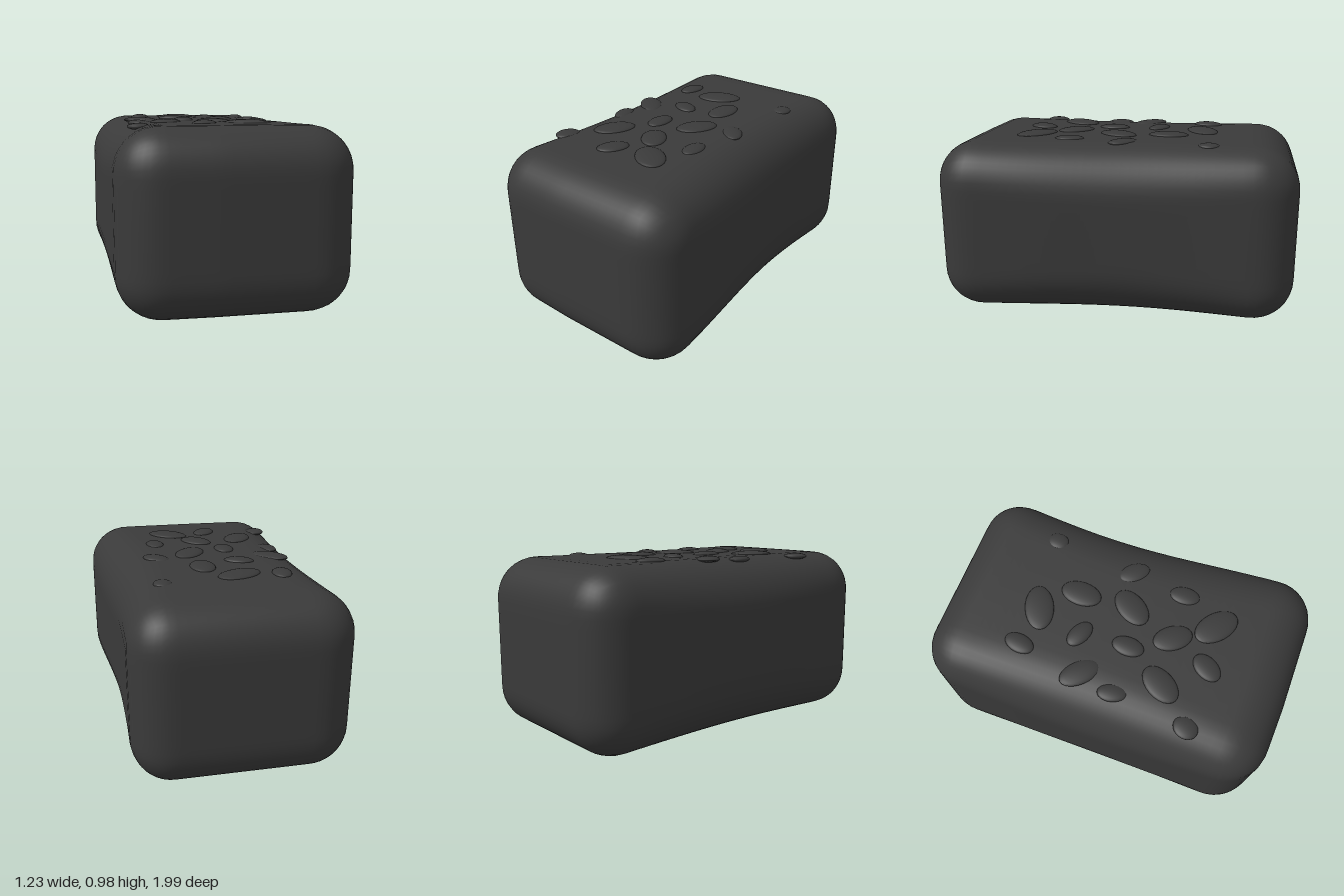
import * as THREE from 'three';
import { mergeVertices } from 'three/addons/utils/BufferGeometryUtils.js';

const HEIGHT = 0.966;
const clamp = THREE.MathUtils.clamp;
const mat = new THREE.MeshStandardMaterial({ color: 0x3a3a3a, roughness: 0.8 });

// Rounded block whose edges soften towards the middle, with slightly uneven sides
function loafGeometry() {
  const hx = 0.6, hy = HEIGHT / 2, hz = 0.995;
  let g = new THREE.BoxGeometry(hx * 2, hy * 2, hz * 2, 24, 20, 40);
  g.deleteAttribute('normal');
  g.deleteAttribute('uv');
  g = mergeVertices(g);
  const pos = g.attributes.position;
  const p = new THREE.Vector3(), core = new THREE.Vector3();
  for (let i = 0; i < pos.count; i++) {
    p.fromBufferAttribute(pos, i);
    const r = 0.23 + 0.06 * Math.cos(clamp(p.z / 0.75, -1, 1) * Math.PI / 2);
    core.set(
      clamp(p.x, r - hx, hx - r),
      clamp(p.y, r - hy, hy - r),
      clamp(p.z, 0.23 - hz, hz - 0.23)
    );
    const off = p.clone().sub(core);
    off.z *= r / 0.23;
    off.setLength(r);
    off.z *= 0.23 / r;
    p.copy(core).add(off);
    // The left side narrows towards the back, with a shallow waist
    if (p.x > 0) {
      const side = p.x / hx;
      p.x += side * (-0.02 + 0.035 * p.z - 0.015 * Math.cos(p.z * 3.4 + 0.8));
    } else {
      p.x += (p.x / hx) * 0.008 * Math.cos(p.z * 2 + 0.6);
    }
    // Front end bulges a little around its middle
    if (p.z > 0) p.z -= 0.02 * (p.z / hz) * clamp((-p.x - 0.1) / 0.5, 0, 1);
    pos.setXYZ(i, p.x, p.y + hy, p.z);
  }
  g.computeVertexNormals();
  return g;
}

export function createModel() {
  const group = new THREE.Group();
  group.name = 'seededLoaf';
  const loaf = new THREE.Mesh(loafGeometry(), mat);
  loaf.name = 'loaf';
  group.add(loaf);

  // Seeds: x, z, half length, half width, turn in degrees, drop below the crust top
  const seeds = [
    [-0.32, -0.465, 0.085, 0.053, 82, 0],
    [-0.09, -0.445, 0.13, 0.08, 25, 0],
    [0.33, -0.505, 0.06, 0.05, 90, 0.008],
    [0.07, -0.26, 0.115, 0.07, 90, 0],
    [-0.155, -0.18, 0.085, 0.052, -25, 0],
    [-0.36, -0.1, 0.115, 0.065, -45, 0.006],
    [0.09, 0.03, 0.12, 0.075, 58, 0],
    [0.295, -0.03, 0.09, 0.055, -50, 0.006],
    [-0.13, 0.09, 0.09, 0.055, 90, 0],
    [-0.4, 0.1, 0.08, 0.05, -75, 0.014],
    [-0.27, 0.325, 0.12, 0.075, 60, 0],
    [0, 0.3, 0.11, 0.07, -55, 0],
    [0.26, 0.28, 0.085, 0.052, -85, 0.003],
    [-0.44, 0.525, 0.07, 0.06, 70, 0.014],
    [-0.095, 0.525, 0.09, 0.06, 60, 0],
    [0.145, 0.5, 0.13, 0.08, -40, 0],
  ];
  const seedGeo = new THREE.SphereGeometry(1, 24, 12);
  const seedGroup = new THREE.Group();
  seedGroup.name = 'seeds';
  seeds.forEach(([x, z, a, b, deg, drop], i) => {
    const seed = new THREE.Mesh(seedGeo, mat);
    seed.name = `seed${i + 1}`;
    seed.scale.set(a, 0.018, b);
    seed.rotation.y = THREE.MathUtils.degToRad(deg);
    seed.position.set(x, HEIGHT - drop, z);
    seedGroup.add(seed);
  });
  group.add(seedGroup);
  return group;
}
